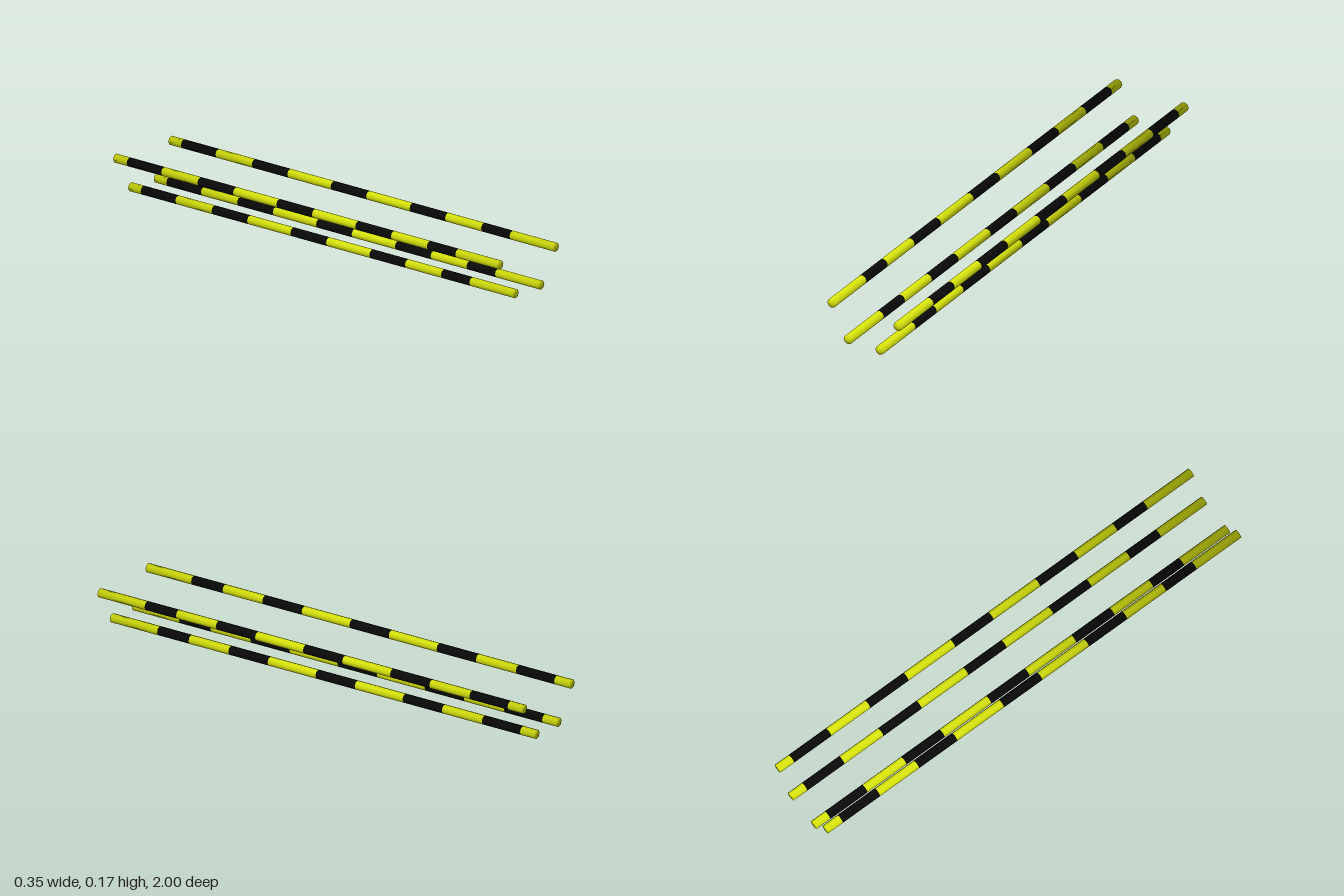
import * as THREE from 'three';

const RADIUS = 0.019;
const SIDES = 8;
// Stripe borders from the back end to the front; colours alternate, starting with yellow
const BORDERS = [-0.93, -0.75, -0.562, -0.377, -0.152, 0.033, 0.258, 0.443, 0.63, 0.778];

// Soft normals that lean outwards towards both ends of the rod
function softenNormals(geometry) {
  const p = geometry.attributes.position;
  const n = new THREE.Vector3();
  for (let i = 0; i < p.count; i++) {
    n.set(p.getX(i) / RADIUS, p.getY(i) / RADIUS, p.getZ(i)).normalize();
    geometry.attributes.normal.setXYZ(i, n.x, n.y, n.z);
  }
  return geometry;
}

function stripeGeometry(z0, z1) {
  const g = new THREE.CylinderGeometry(RADIUS, RADIUS, z1 - z0, SIDES, 1, true);
  g.rotateX(Math.PI / 2).translate(0, 0, (z0 + z1) / 2);
  return softenNormals(g);
}

function capGeometry(z) {
  const g = new THREE.CircleGeometry(RADIUS, SIDES);
  if (z < 0) g.rotateY(Math.PI);
  return softenNormals(g.translate(0, 0, z));
}

export function createModel() {
  const yellow = new THREE.MeshStandardMaterial({ color: 0xd4e00c });
  yellow.name = 'yellow';
  const black = new THREE.MeshStandardMaterial({ color: 0x09090a });
  black.name = 'black';

  const model = new THREE.Group();
  model.name = 'stripedRods';

  function addRod(name, x, y, back, front) {
    const rod = new THREE.Group();
    rod.name = name;
    rod.position.set(x, y, 0);
    const add = (part, geometry, material) => {
      const mesh = new THREE.Mesh(geometry, material);
      mesh.name = part;
      rod.add(mesh);
    };
    // Alternating stripes
    const stops = [back, ...BORDERS, front];
    for (let i = 0; i < stops.length - 1; i++) {
      const dark = i % 2 === 1;
      add(dark ? 'blackStripe' : 'yellowStripe', stripeGeometry(stops[i], stops[i + 1]), dark ? black : yellow);
    }
    // Closed ends
    add('backCap', capGeometry(back), yellow);
    add('frontCap', capGeometry(front), yellow);
    model.add(rod);
  }

  // Two wide upper rods and two narrow lower rods
  addRod('upperRightRod', -0.155, 0.153, -1, 0.993);
  addRod('upperLeftRod', 0.154, 0.153, -0.995, 1);
  addRod('lowerRightRod', -0.075, 0.02, -0.995, 1);
  addRod('lowerLeftRod', 0.071, 0.02, -0.995, 1);

  return model;
}
